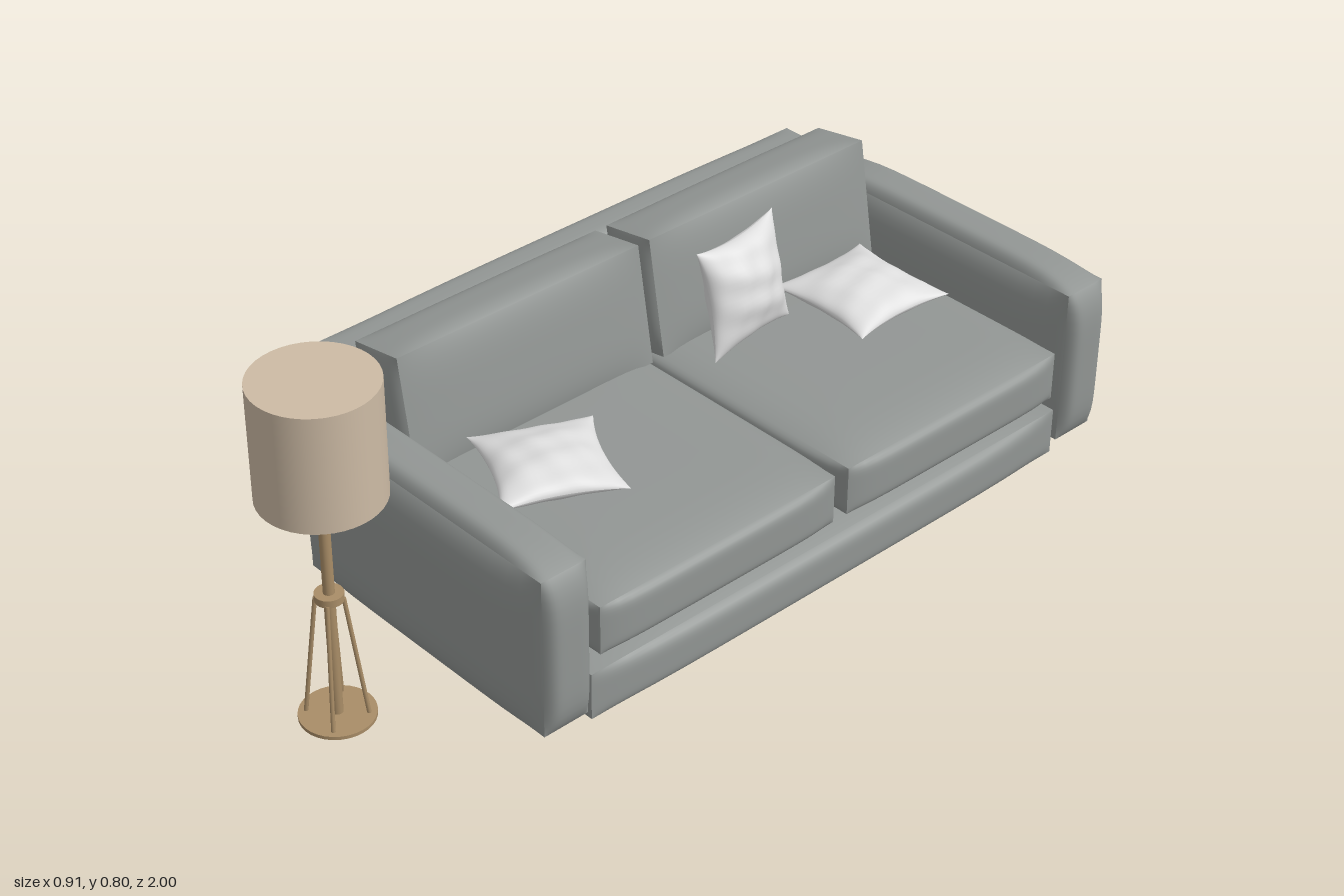
import * as THREE from 'three';
import { mergeGeometries } from 'three/addons/utils/BufferGeometryUtils.js';

const mat = (name, color, side = THREE.FrontSide) => {
  const m = new THREE.MeshStandardMaterial({ color, side });
  m.name = name;
  return m;
};

// Upholstered block: a box whose faces swell by b and whose edges pull in softly
function paddedBox(size, b, power = 6) {
  const g = new THREE.BoxGeometry(2, 2, 2, 18, 18, 18);
  const p = g.attributes.position;
  const h = size.map((s) => s / 2);
  for (let i = 0; i < p.count; i++) {
    const u = [p.getX(i), p.getY(i), p.getZ(i)].map((c) => Math.sin((c * Math.PI) / 2));
    const soft = u.map((c) => 1 - Math.pow(Math.abs(c), power));
    const q = u.map((c, k) => c * (h[k] - b * (1 - soft[(k + 1) % 3] * soft[(k + 2) % 3])));
    p.setXYZ(i, q[0], q[1], q[2]);
  }
  g.computeVertexNormals();
  return g;
}

// Throw pillow lying flat: two swollen sheets with pulled-out corners and soft folds
function pillowGeometry(half, thick, seed) {
  const sheets = [1, -1].map((side) => {
    const g = new THREE.PlaneGeometry(2, 2, 28, 28);
    g.rotateX((-side * Math.PI) / 2);
    const p = g.attributes.position;
    for (let i = 0; i < p.count; i++) {
      const u = Math.sin((p.getX(i) * Math.PI) / 2);
      const v = Math.sin((p.getZ(i) * Math.PI) / 2);
      const eu = Math.max(0, 1 - u * u), ev = Math.max(0, 1 - v * v);
      const fold = 1 + 0.1 * Math.sin(7 * u + 4 * v + seed) * Math.sin(6 * v - 3 * u + seed * 2 + side);
      const y = side * thick * Math.pow(eu * ev, 0.55) * fold;
      p.setXYZ(i, half * u * (1 - 0.13 * ev), y, half * v * (1 - 0.13 * eu));
    }
    g.computeVertexNormals();
    return g;
  });
  return mergeGeometries(sheets);
}

export function createModel() {
  const model = new THREE.Group();
  model.name = 'sofaWithFloorLamp';
  const fabric = mat('greyFabric', 0x929694);
  const linen = mat('whiteLinen', 0xdedede, THREE.DoubleSide);
  const wood = mat('wood', 0xa98d67);
  const shadeCloth = mat('beigeShade', 0xcdbba5);

  const add = (parent, name, geometry, material, x, y, z) => {
    const m = new THREE.Mesh(geometry, material);
    m.name = name;
    m.position.set(x, y, z);
    parent.add(m);
    return m;
  };

  // Sofa, with its seat opening towards +x
  const sofa = new THREE.Group();
  sofa.name = 'sofa';
  model.add(sofa);

  // Block given by its x, y and z ranges
  const block = (name, x, y, z, b, power) => {
    const r = [x, y, z];
    const c = r.map(([a, d]) => (a + d) / 2);
    return add(sofa, name, paddedBox(r.map(([a, d]) => d - a), b, power), fabric, ...c);
  };
  block('base', [-0.34, 0.45], [0.004, 0.16], [-0.87, 0.545], 0.022);
  block('backrest', [-0.455, -0.305], [0.018, 0.522], [-0.875, 0.542], 0.022, 4);
  block('nearArm', [-0.345, 0.455], [0.025, 0.455], [0.508, 0.673], 0.026);
  block('farArm', [-0.345, 0.455], [0.025, 0.455], [-1, -0.838], 0.026);

  // Two seat cushions and two back cushions
  for (const [z0, z1] of [[-0.848, -0.167], [-0.163, 0.52]]) {
    block('seatCushion', [-0.31, 0.45], [0.163, 0.315], [z0, z1], 0.018, 8);
    const back = block('backCushion', [-0.304, -0.136], [0.276, 0.584], [z0, z1], 0.014, 4);
    back.rotation.z = 0.17;
  }

  // Throw pillows
  const flatFar = add(sofa, 'farPillow', pillowGeometry(0.138, 0.042, 1), linen, 0.028, 0.357, -0.635);
  flatFar.rotation.z = -0.03;
  const flatNear = add(sofa, 'nearPillow', pillowGeometry(0.136, 0.043, 2.3), linen, 0.062, 0.358, 0.315);
  flatNear.rotation.y = -0.44;
  const standing = add(sofa, 'standingPillow', pillowGeometry(0.13, 0.056, 4), linen, -0.07, 0.438, -0.365);
  standing.rotation.set(0, 0.13, Math.PI / 2 + 0.22);

  // Floor lamp
  const lamp = new THREE.Group();
  lamp.name = 'floorLamp';
  lamp.position.set(0.055, 0, 0.87);
  model.add(lamp);
  const disc = (name, r, y0, y1, material, sides = 32) =>
    add(lamp, name, new THREE.CylinderGeometry(r, r, y1 - y0, sides), material, 0, (y0 + y1) / 2, 0);
  disc('lampFoot', 0.08, 0.004, 0.012, wood);
  disc('lampPole', 0.012, 0.012, 0.56, wood, 16);
  disc('lampCollar', 0.03, 0.294, 0.311, wood, 24);
  disc('lampShade', 0.13, 0.546, 0.806, shadeCloth, 40);

  // Four splayed rods from the collar down to the foot
  for (const sx of [-1, 1]) {
    for (const sz of [-1, 1]) {
      const top = new THREE.Vector3(sx * 0.02, 0.298, sz * 0.02);
      const foot = new THREE.Vector3(sx * 0.045, 0.01, sz * 0.045);
      const mid = top.clone().add(foot).multiplyScalar(0.5);
      const rod = add(lamp, 'lampLeg', new THREE.CylinderGeometry(0.0045, 0.0045, top.distanceTo(foot), 10), wood, ...mid);
      rod.quaternion.setFromUnitVectors(new THREE.Vector3(0, 1, 0), top.sub(foot).normalize());
    }
  }
  return model;
}
